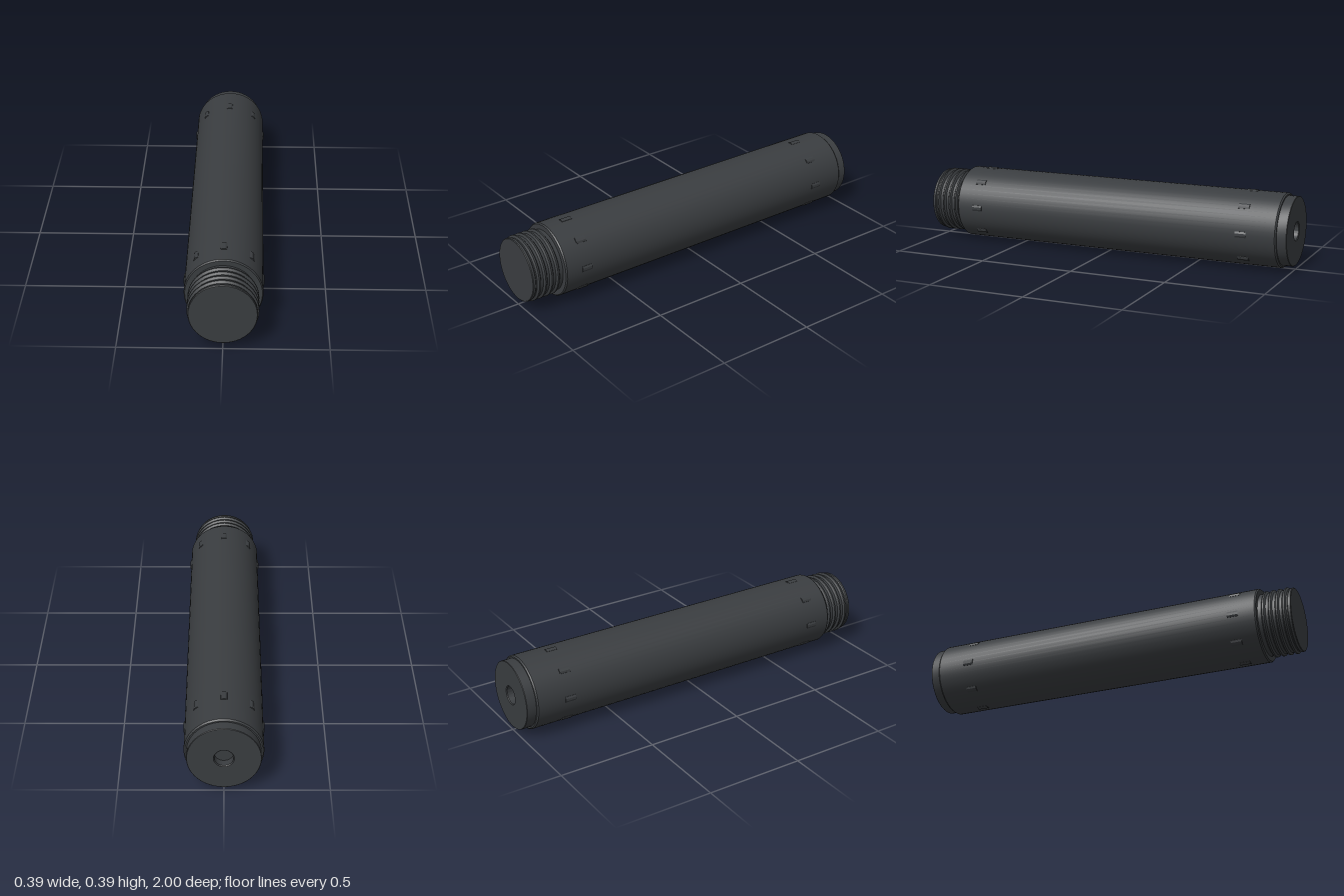
import * as THREE from 'three';
import { toCreasedNormals } from 'three/addons/utils/BufferGeometryUtils.js';

const AXIS_Y = 0.193;
const SEGMENTS = 48;

export function createModel() {
  const group = new THREE.Group();
  const material = new THREE.MeshStandardMaterial({ color: 0x3a3d40 });

  // Turns a [radius, z] profile, listed back to front, around the z axis.
  function turned(name, profile) {
    const points = profile.map(([r, z]) => new THREE.Vector2(r, z));
    const geometry = new THREE.LatheGeometry(points, SEGMENTS).rotateX(Math.PI / 2);
    const mesh = new THREE.Mesh(toCreasedNormals(geometry, 0.5), material);
    mesh.name = name;
    mesh.position.y = AXIS_Y;
    group.add(mesh);
  }

  // Main barrel with small chamfers at both ends
  turned('barrel', [
    [0, -0.95], [0.182, -0.95], [0.188, -0.943],
    [0.188, 0.823], [0.183, 0.83], [0, 0.83],
  ]);

  // Rear cap with a blind hole in its face
  turned('rearCap', [
    [0, -0.96], [0.045, -0.96], [0.045, -0.996], [0.049, -1],
    [0.173, -1], [0.175, -0.998], [0.175, -0.945],
  ]);

  // Front neck with raised thread ridges
  const neck = [[0.158, 0.82]];
  for (const z of [0.86, 0.895, 0.93, 0.965]) {
    neck.push([0.158, z - 0.011], [0.168, z - 0.004], [0.168, z + 0.004], [0.158, z + 0.011]);
  }
  neck.push([0.158, 0.982], [0.162, 0.986], [0.162, 0.997], [0.159, 1], [0, 1]);
  turned('threadedNeck', neck);

  // Two rings of eight small tapered studs
  const outline = new THREE.Shape([
    new THREE.Vector2(-0.017, 0.18), new THREE.Vector2(0.017, 0.18),
    new THREE.Vector2(0.015, 0.188), new THREE.Vector2(0.006, 0.193),
    new THREE.Vector2(-0.006, 0.193), new THREE.Vector2(-0.015, 0.188),
  ]);
  const studGeometry = new THREE.ExtrudeGeometry(outline, { depth: 0.056, bevelEnabled: false })
    .translate(0, 0, -0.028);
  for (const [name, z] of [['frontStuds', 0.71], ['rearStuds', -0.77]]) {
    const ring = new THREE.Group();
    ring.name = name;
    ring.position.set(0, AXIS_Y, z);
    for (let i = 0; i < 8; i++) {
      const stud = new THREE.Mesh(studGeometry, material);
      stud.name = 'stud';
      stud.rotation.z = (i * Math.PI) / 4;
      ring.add(stud);
    }
    group.add(ring);
  }

  return group;
}
